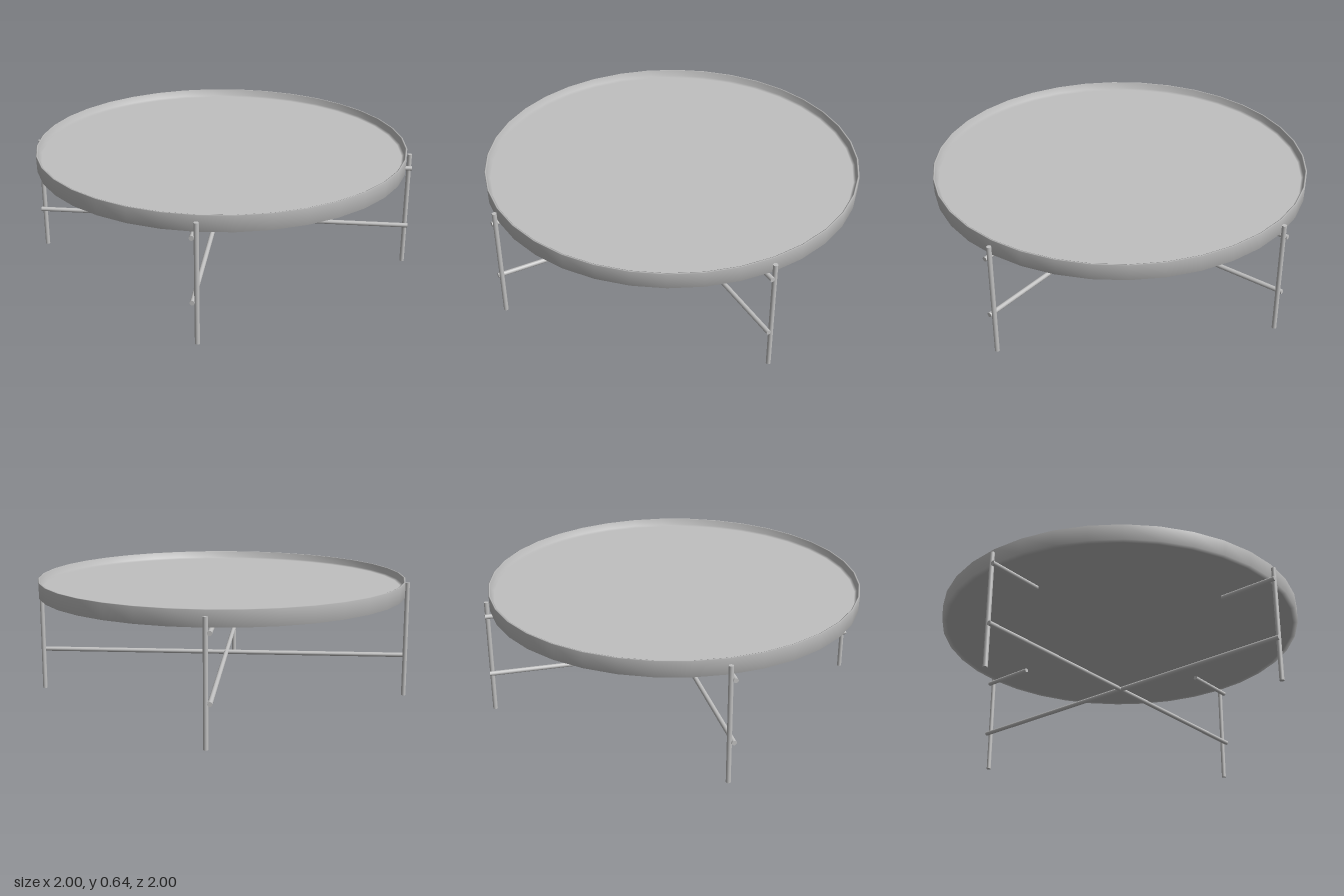
import * as THREE from 'three';

export function createModel() {
  const model = new THREE.Group();
  model.name = 'trayTable';
  const metal = new THREE.MeshStandardMaterial({ color: 0xc0c0c0 });
  metal.name = 'grey metal';

  const add = (name, geometry, parent) => {
    const mesh = new THREE.Mesh(geometry, metal);
    mesh.name = name;
    parent.add(mesh);
    return mesh;
  };

  // Round tray: underside, outer wall, thin rim, inner wall and floor
  const profile = [
    [0, 0.56], [0.945, 0.56], [0.97, 0.562], [0.972, 0.643], [0.968, 0.645],
    [0.962, 0.643], [0.958, 0.61], [0.945, 0.602], [0, 0.602],
  ].map(([r, y]) => new THREE.Vector2(r, y));
  add('tray', new THREE.LatheGeometry(profile, 36), model);

  const R = 0.012; // tube radius
  const OFFSET = 0.023; // rods run beside the legs

  // Horizontal rod along x between two positions
  const rod = (name, x0, x1, y, parent) => {
    const geometry = new THREE.CylinderGeometry(R, R, x1 - x0, 14);
    geometry.rotateZ(Math.PI / 2);
    add(name, geometry, parent).position.set((x0 + x1) / 2, y, OFFSET);
  };

  // Two crossing frames, each with two legs, a stretcher and two short supports
  for (const [name, angle] of [['sideFrame', 0], ['frontBackFrame', -Math.PI / 2]]) {
    const frame = new THREE.Group();
    frame.name = name;
    for (const s of [-1, 1]) {
      add('leg', new THREE.CylinderGeometry(R, R, 0.615, 14), frame)
        .position.set(s * 0.986, 0.3075, 0.003);
      rod('traySupport', s < 0 ? -1 : 0.69, s < 0 ? -0.69 : 1, 0.543, frame);
    }
    rod('stretcher', -1, 1, 0.218, frame);
    frame.rotation.y = angle;
    model.add(frame);
  }
  return model;
}
